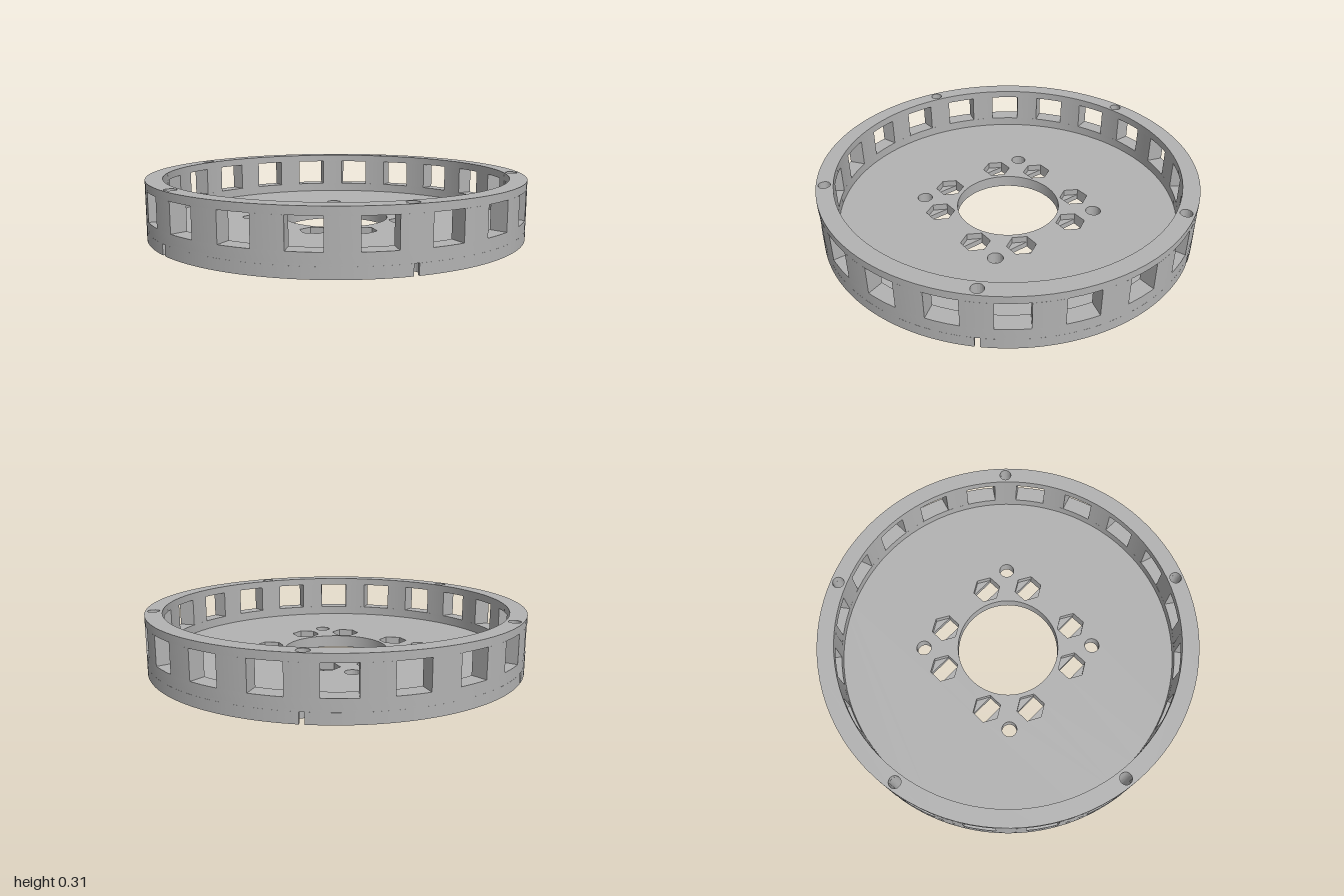
import * as THREE from 'three';
import { toCreasedNormals } from 'three/addons/utils/BufferGeometryUtils.js';

const R = 1, INNER = 0.912, BORE = 0.278, BOLT_R = 0.957, BOLT = 0.031;
const FLOOR = 0.065, POCKET = 0.03, NOTCH = 0.055, SILL = 0.115, LINTEL = 0.265, TOP = 0.305;
const WINDOWS = 20, HALF_WINDOW = 0.081, HALF_NOTCH = 0.0125;
const rad = THREE.MathUtils.degToRad;
const boltAngles = [-117, -45, 27, 99, 171].map(rad);

const circle = (x, y, r) => new THREE.Path().absarc(x, y, r, 0, Math.PI * 2, true);
const polygon = pts => new THREE.Path(pts.map(([x, y]) => new THREE.Vector2(x, y))).closePath();
const boltHole = a => circle(BOLT_R * Math.cos(a), BOLT_R * Math.sin(a), BOLT);

function disc(r) {
  const s = new THREE.Shape();
  s.absarc(0, 0, r, 0, Math.PI * 2, false);
  return s;
}

// Disc outline whose bolt holes open outward through narrow notches
function notchedDisc() {
  const s = new THREE.Shape();
  const d = Math.asin(HALF_NOTCH / R), h = Math.asin(HALF_NOTCH / BOLT);
  boltAngles.forEach((a, i) => {
    const next = i < 4 ? boltAngles[i + 1] : boltAngles[0] + Math.PI * 2;
    s.absarc(BOLT_R * Math.cos(a), BOLT_R * Math.sin(a), BOLT, a - h, a + h, true);
    s.absarc(0, 0, R, a + d, next - d, false);
  });
  s.closePath();
  return s;
}

// Bore, four round holes and eight nut pockets (hexagon) or slots (rectangle)
function addFloorHoles(shape, hex) {
  shape.holes.push(circle(0, 0, BORE));
  const r = 0.077, c = r / 2, f = r * Math.sqrt(3) / 2;
  const outline = hex
    ? [[r, 0], [c, f], [-c, f], [-r, 0], [-c, -f], [c, -f]]
    : [[c, f], [-c, f], [-c, -f], [c, -f]];
  for (const sx of [-1, 1]) for (const sy of [-1, 1]) {
    shape.holes.push(circle(sx * 0.331, sy * 0.331, 0.04));
    for (const [x, y] of [[0.165, 0.335], [0.33, 0.165]]) {
      shape.holes.push(polygon(outline.map(([px, py]) => [sx * x + px, sy * y + py])));
    }
  }
  return shape;
}

function ring() {
  const s = disc(R);
  s.holes.push(circle(0, 0, INNER), ...boltAngles.map(boltHole));
  return s;
}

// Wall post between two parallel-sided windows
function post(a) {
  const half = Math.PI / WINDOWS;
  const o = half - Math.asin(HALF_WINDOW / R), i = half - Math.asin(HALF_WINDOW / INNER);
  const s = new THREE.Shape();
  s.absarc(0, 0, R, a - o, a + o, false);
  s.absarc(0, 0, INNER, a + i, a - i, true);
  s.closePath();
  return s;
}

export function createModel() {
  const group = new THREE.Group();
  const grey = new THREE.MeshStandardMaterial({ color: 0xb2b2b2 });
  grey.name = 'grey';

  // Extrude a plan outline from height y0 to y1
  function layer(name, shape, y0, y1, curveSegments = 48) {
    const g = new THREE.ExtrudeGeometry(shape, { depth: y1 - y0, bevelEnabled: false, curveSegments });
    g.rotateX(-Math.PI / 2).translate(0, y0, 0);
    const mesh = new THREE.Mesh(toCreasedNormals(g, 0.5), grey);
    mesh.name = name;
    group.add(mesh);
  }

  // Floor plate
  layer('floorSlots', addFloorHoles(notchedDisc(), false), 0, POCKET);
  layer('floorPockets', addFloorHoles(notchedDisc(), true), POCKET, NOTCH);
  const upper = addFloorHoles(disc(R), true);
  upper.holes.push(...boltAngles.map(boltHole));
  layer('floorTop', upper, NOTCH, FLOOR);

  // Windowed wall
  layer('lowerWall', ring(), FLOOR, SILL);
  for (let k = 0; k < WINDOWS; k++) {
    const a = (k + 0.5) * Math.PI * 2 / WINDOWS;
    const shape = post(a);
    const drilled = boltAngles.some(b => Math.cos(a - b) > 0.999);
    if (drilled) shape.holes.push(boltHole(a));
    layer('wallPost', shape, SILL, LINTEL, drilled ? 12 : 4);
  }
  layer('upperRim', ring(), LINTEL, TOP);
  return group;
}
